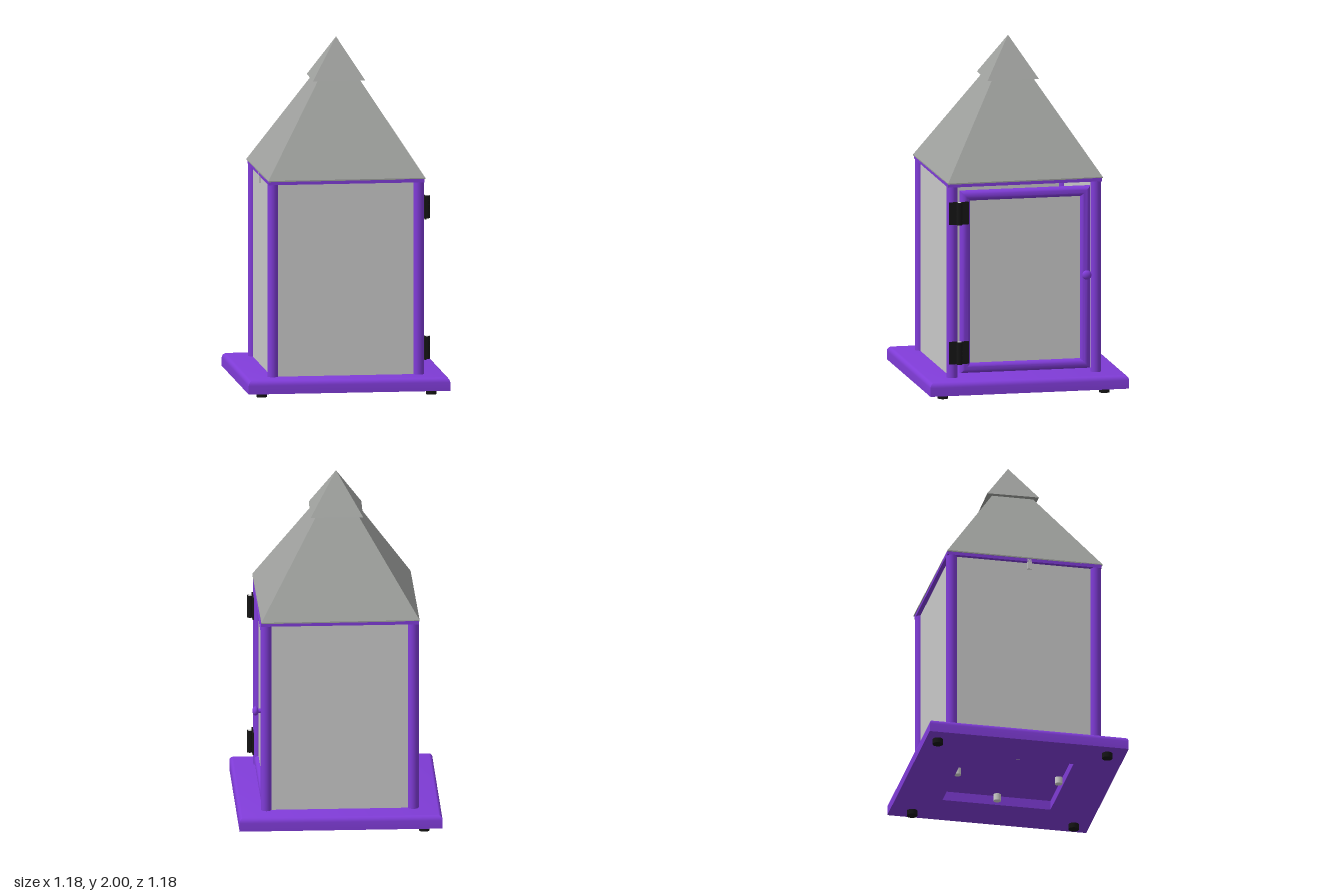
import * as THREE from 'three';
import { toCreasedNormals } from 'three/addons/utils/BufferGeometryUtils.js';

const mat = (name, color) => {
  const m = new THREE.MeshStandardMaterial({ color });
  m.name = name;
  return m;
};

export function createModel() {
  const purple = mat('purple paint', 0x803cd8);
  const roofGrey = mat('roof grey', 0x9fa19e);
  const paneGrey = mat('pane grey', 0xcacaca);
  const black = mat('black metal', 0x151515);
  const steel = mat('steel', 0xd2d2d0);

  const model = new THREE.Group();
  model.name = 'lantern';
  const group = (name, parent, turn = 0) => {
    const g = new THREE.Group();
    g.name = name;
    g.rotation.y = turn;
    parent.add(g);
    return g;
  };
  const add = (parent, name, geo, material, x = 0, y = 0, z = 0) => {
    const m = new THREE.Mesh(geo, material);
    m.name = name;
    m.position.set(x, y, z);
    parent.add(m);
    return m;
  };
  const box = (w, h, d) => new THREE.BoxGeometry(w, h, d);
  const rod = (r, h, n = 20) => new THREE.CylinderGeometry(r, r, h, n);

  // Square solid turned from a profile of [half width, height] points
  const squareLathe = (points) => {
    const pts = points.map(([r, y]) => new THREE.Vector2(r * Math.SQRT2, y));
    return new THREE.LatheGeometry(pts, 4, Math.PI / 4);
  };

  // Base: rounded upper edge, recess underneath
  const base = group('base', model, 0.0136);
  const profile = [[0, 0.085], [0.315, 0.085], [0.315, 0.03], [0.58, 0.03]];
  for (let i = 0; i <= 5; i++) {
    const a = (i / 5) * Math.PI / 2;
    profile.push([0.55 + 0.03 * Math.cos(a), 0.078 + 0.03 * Math.sin(a)]);
  }
  profile.push([0, 0.108]);
  add(base, 'baseBoard', toCreasedNormals(squareLathe(profile), 0.6), purple);

  // Feet
  for (const [x, z] of [[0.49, 0.48], [-0.485, 0.48], [0.49, -0.46], [-0.485, -0.505]]) {
    add(model, 'foot', rod(0.03, 0.032), black, x, 0.016, z);
  }
  // Bolts in the recess
  for (let i = 0; i < 4; i++) {
    const a = i * Math.PI / 2;
    add(base, 'bolt', rod(0.022, 0.04, 12), steel, 0.295 * Math.sin(a), 0.066, 0.295 * Math.cos(a));
  }

  // House: corner posts, top plate and fixed panes
  const house = group('house', model, 0.014);
  for (const x of [-0.42, 0.42]) {
    for (const z of [-0.42, 0.42]) add(house, 'post', rod(0.031, 1.115), purple, x, 0.66, z);
  }
  add(house, 'topPlate', box(0.9, 0.02, 0.9), purple, 0, 1.225, 0);
  add(house, 'frontPane', box(0.8, 1.11, 0.012), paneGrey, 0, 0.66, 0.42);
  add(house, 'backPane', box(0.8, 1.11, 0.012), paneGrey, 0, 0.66, -0.42);
  add(house, 'leftPane', box(0.012, 1.11, 0.8), paneGrey, -0.42, 0.66, 0);
  add(house, 'latchTab', box(0.012, 0.06, 0.025), paneGrey, -0.444, 1.2, 0.03);

  // Door: mitred frame of round bars, stretched from a small square ring
  const door = group('door', house);
  const ring = [];
  for (let i = 0; i <= 20; i++) {
    const a = -Math.PI / 2 + (i / 20) * Math.PI * 2;
    ring.push([0.05 + 0.03 * Math.cos(a), 0.03 * Math.sin(a)]);
  }
  const frame = squareLathe(ring);
  const pos = frame.attributes.position;
  for (let i = 0; i < pos.count; i++) {
    pos.setX(i, pos.getX(i) + Math.sign(pos.getX(i)) * 0.45);
    pos.setZ(i, pos.getZ(i) + Math.sign(pos.getZ(i)) * 0.30);
  }
  frame.rotateZ(-Math.PI / 2);
  add(door, 'doorFrame', toCreasedNormals(frame, 0.6), purple, 0.42, 0.66, -0.005);
  add(door, 'doorPane', box(0.012, 0.98, 0.68), paneGrey, 0.42, 0.66, -0.005);

  // Knob
  const stem = add(door, 'knobStem', rod(0.012, 0.04), purple, 0.46, 0.68, -0.355);
  stem.rotation.z = Math.PI / 2;
  const knob = add(door, 'knob', new THREE.SphereGeometry(0.027, 20, 14), purple, 0.478, 0.68, -0.355);
  knob.scale.x = 0.65;

  // Hinges: two leaves, a knuckled barrel and a pin
  for (const y of [0.255, 1.065]) {
    const hinge = group('hinge', door);
    hinge.position.set(0, y, 0.387);
    for (const s of [-1, 1]) {
      add(hinge, 'hingeLeaf', box(0.008, 0.13, 0.052), black, 0.456, 0, s * 0.031);
    }
    for (let i = -2; i <= 2; i++) {
      add(hinge, 'hingeKnuckle', rod(0.017, 0.0255, 14), black, 0.472, i * 0.026, 0);
    }
    add(hinge, 'hingePin', rod(0.011, 0.133, 14), steel, 0.472, 0, 0);
  }

  // Roof and cap
  const roof = group('roof', model, 0.02);
  add(roof, 'roofPyramid', toCreasedNormals(
    squareLathe([[0, 1.233], [0.452, 1.233], [0.452, 1.24], [0, 1.955]]), 0.4), roofGrey);
  add(model, 'roofCap', toCreasedNormals(
    squareLathe([[0, 1.765], [0.15, 1.765], [0, 2]]), 0.4), roofGrey);

  return model;
}
